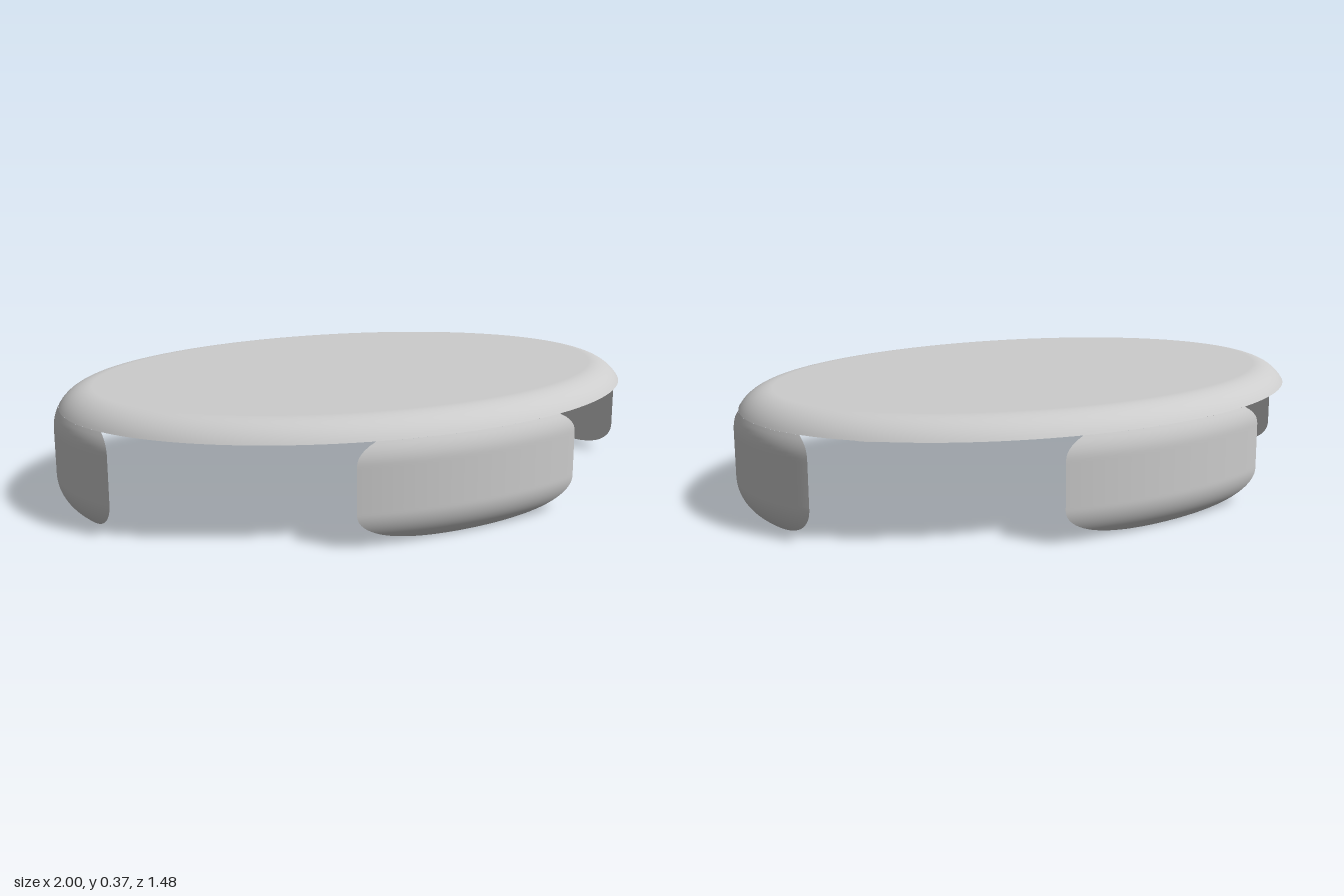
import * as THREE from 'three';
import { mergeVertices } from 'three/addons/utils/BufferGeometryUtils.js';

// The table is a rounded elliptical disc, hollowed out to leave a top and four slab legs.
const A = 1, B = 0.74;            // half length and half depth
const H = 0.366, UNDER = 0.307;   // top and underside heights
const R = 0.12;                   // edge rounding
const THICK = 0.057;              // leg thickness
const LOW = Math.sqrt(R * R - (R - THICK) ** 2); // height where the lower rounding starts

// How far the outline is drawn in at height y
function inset(y) {
  const dy = Math.max(0, LOW - y, y - (H - R));
  return R - Math.sqrt(Math.max(0, R * R - dy * dy));
}

// Smooth grid surface from a point function
function grid(rows, cols, point, flip) {
  const pos = [], idx = [];
  for (let i = 0; i <= rows; i++)
    for (let j = 0; j <= cols; j++) pos.push(...point(i / rows, j / cols));
  for (let i = 0; i < rows; i++)
    for (let j = 0; j < cols; j++) {
      const a = i * (cols + 1) + j, b = a + 1, c = b + cols + 1, d = c - 1;
      if (flip) idx.push(a, c, b, a, d, c);
      else idx.push(a, b, c, a, c, d);
    }
  const g = new THREE.BufferGeometry();
  g.setAttribute('position', new THREE.Float32BufferAttribute(pos, 3));
  g.setIndex(idx);
  g.computeVertexNormals();
  return g;
}

// Leg facing +z: curved outside, flat inside; reach is the half axis it stands on
function makeLeg(name, reach, side, angle, material) {
  const plane = reach - THICK;
  const point = (flat) => (u, v) => {
    const y = UNDER * u ** 1.7, d = inset(y);
    const rz = reach - d, rx = side - d;
    const w = rx * Math.sqrt(Math.max(0, 1 - (plane / rz) ** 2));
    const x = w * Math.sin((v - 0.5) * Math.PI);
    return [x, y, flat ? plane : rz * Math.sqrt(1 - (x / rx) ** 2)];
  };
  const leg = new THREE.Group();
  leg.name = name;
  const outer = new THREE.Mesh(grid(48, 28, point(false), false), material);
  outer.name = 'legOuterFace';
  const inner = new THREE.Mesh(grid(48, 28, point(true), true), material);
  inner.name = 'legInnerFace';
  leg.add(outer, inner);
  leg.rotation.y = angle;
  return leg;
}

export function createModel() {
  const model = new THREE.Group();
  model.name = 'ovalTable';
  const grey = new THREE.MeshStandardMaterial({ color: 0xcccccc });
  grey.name = 'plain grey';

  // Table top: rounded rim turned on a lathe, then narrowed to an ellipse
  const profile = [], start = Math.asin((UNDER - H + R) / R);
  for (let i = 0; i <= 14; i++) {
    const t = start + (Math.PI / 2 - start) * i / 14;
    profile.push(new THREE.Vector2(A - R + R * Math.cos(t), H - R + R * Math.sin(t)));
  }
  profile.push(new THREE.Vector2(0.84, H), new THREE.Vector2(0, H));
  let top = new THREE.LatheGeometry(profile, 128);
  const p = top.attributes.position;
  for (let i = 0; i < p.count; i++) {
    const r = Math.hypot(p.getX(i), p.getZ(i));
    const depth = r > A - R ? (r - A + B) / r : (B - R) / (A - R);
    p.setZ(i, p.getZ(i) * depth);
  }
  top.deleteAttribute('uv');
  top.deleteAttribute('normal');
  top = mergeVertices(top, 1e-5);
  top.computeVertexNormals();
  const topMesh = new THREE.Mesh(top, grey);
  topMesh.name = 'tableTop';
  model.add(topMesh);

  // Flat underside
  const d = inset(UNDER);
  const under = new THREE.CircleGeometry(1, 128);
  under.rotateX(Math.PI / 2).scale(A - d, 1, B - d).translate(0, UNDER, 0);
  const underMesh = new THREE.Mesh(under, grey);
  underMesh.name = 'underside';
  model.add(underMesh);

  // Four legs
  model.add(
    makeLeg('frontLeg', B, A, 0, grey),
    makeLeg('backLeg', B, A, Math.PI, grey),
    makeLeg('leftLeg', A, B, Math.PI / 2, grey),
    makeLeg('rightLeg', A, B, -Math.PI / 2, grey)
  );
  return model;
}
